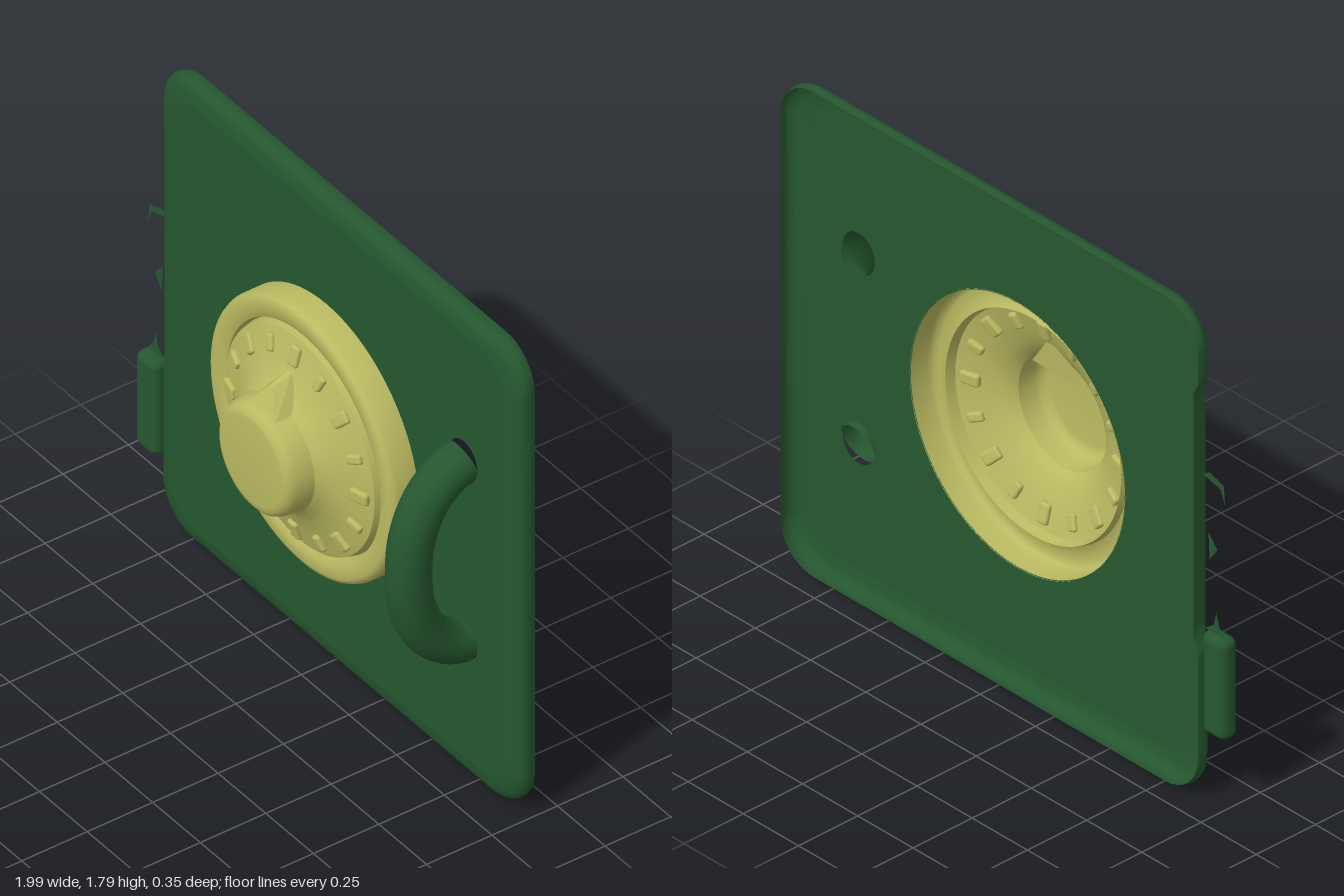
import * as THREE from 'three';
import { toCreasedNormals } from 'three/addons/utils/BufferGeometryUtils.js';
import { RoundedBoxGeometry } from 'three/addons/geometries/RoundedBoxGeometry.js';
import { ConvexGeometry } from 'three/addons/geometries/ConvexGeometry.js';

const DIAL = { x: -0.02, y: 0.92 };
const HANDLE_X = 0.7, HANDLE_ENDS = [0.55, 1.25];

export function createModel() {
  const green = new THREE.MeshStandardMaterial({ color: 0x25572f, side: THREE.DoubleSide });
  green.name = 'door green';
  const gold = new THREE.MeshStandardMaterial({ color: 0xbaba62, side: THREE.DoubleSide });
  gold.name = 'dial gold';

  const model = new THREE.Group();
  model.name = 'safeDoor';
  const add = (name, geometry, material, parent = model) => {
    const mesh = new THREE.Mesh(geometry, material);
    mesh.name = name;
    parent.add(mesh);
    return mesh;
  };

  // Door: rounded outline with a curled rim, open at the back
  const cx = 0.04, cy = 0.915, hw = 0.95, hh = 0.895, r = 0.15;
  const outline = [];
  [[1, 1], [-1, 1], [-1, -1], [1, -1]].forEach(([sx, sy], corner) => {
    for (let i = 0; i <= 10; i++) {
      const a = (corner + i / 10) * Math.PI / 2;
      outline.push([sx * (hw - r) + r * Math.cos(a), sy * (hh - r) + r * Math.sin(a)]);
    }
    // extra points along the hinge side, for its worn edge
    if (corner === 1) for (let i = 1; i < 40; i++) outline.push([-hw, (hh - r) * (1 - i / 20)]);
  });
  const ringAt = (inset) => outline.map(([x, y]) => {
    let px = cx + x * (hw - inset) / hw;
    const py = cy + y * (hh - inset) / hh;
    if (py > 0.6 && py < 1.54) px = Math.max(px, -0.885);
    return new THREE.Vector2(px, py);
  });
  const rimProfile = [[0.005, -0.175], [0, -0.155], [0.004, -0.138], [0.016, -0.124], [0.036, -0.115], [0.07, -0.11]];
  const positions = [], index = [], n = outline.length;
  rimProfile.forEach(([inset, z], k) => {
    ringAt(inset).forEach((p, i) => {
      positions.push(p.x, p.y, z);
      if (k === rimProfile.length - 1) return;
      const a = k * n + i, b = k * n + (i + 1) % n;
      index.push(a, b, a + n, b, b + n, a + n);
    });
  });
  const rim = new THREE.BufferGeometry();
  rim.setAttribute('position', new THREE.Float32BufferAttribute(positions, 3));
  rim.setIndex(index);
  rim.computeVertexNormals();
  add('doorRim', rim, green);

  const face = new THREE.Shape(ringAt(0.07));
  const cutHole = (x, y, radius) => face.holes.push(new THREE.Path().absarc(x, y, radius, 0, Math.PI * 2, true));
  cutHole(DIAL.x, DIAL.y, 0.484);
  HANDLE_ENDS.forEach((y) => cutHole(HANDLE_X, y, 0.072));
  add('doorFace', new THREE.ShapeGeometry(face, 32), green).position.z = -0.11;

  // Handle: hollow bowed tube opening through the door
  const bow = [[0.55, -0.11], [0.57, -0.05], [0.64, 0.03], [0.76, 0.085], [0.9, 0.1],
    [1.04, 0.085], [1.16, 0.03], [1.23, -0.05], [1.25, -0.11]];
  const path = new THREE.CatmullRomCurve3(bow.map(([y, z]) => new THREE.Vector3(HANDLE_X, y, z)));
  add('handle', new THREE.TubeGeometry(path, 48, 0.074, 24), green);

  // Hinge: remaining knuckle
  add('hinge', new RoundedBoxGeometry(0.11, 0.37, 0.07, 4, 0.03), green).position.set(-0.943, 0.445, -0.12);

  // Worn slivers along the hinge side
  [[[-0.98, 1.12], [-0.96, 1.17], [-0.88, 1.19], [-0.91, 1.21], [-0.975, 1.19]],
    [[-0.945, 0.94], [-0.91, 0.89], [-0.905, 0.99]],
    [[-0.98, 0.63], [-0.89, 0.63], [-0.93, 0.66], [-0.94, 0.71], [-0.955, 0.66]]].forEach((points) => {
    const sliver = new THREE.Shape(points.map(([x, y]) => new THREE.Vector2(x, y)));
    add('hingeSliver', new THREE.ShapeGeometry(sliver), green).position.z = -0.13;
  });

  // Dial: hollow turned shell with ring, groove, flared plate and knob
  const dial = new THREE.Group();
  dial.name = 'dial';
  dial.position.set(DIAL.x, DIAL.y, 0);
  model.add(dial);
  const lathe = (profile) => {
    const g = new THREE.LatheGeometry(profile.map(([x, z]) => new THREE.Vector2(x, z)), 72);
    g.rotateX(Math.PI / 2);
    return toCreasedNormals(g, 0.7);
  };
  add('dialRing', lathe([[0.487, -0.112], [0.487, -0.035], [0.48, -0.018], [0.465, -0.01],
    [0.425, -0.012], [0.405, -0.022], [0.398, -0.045]]), gold, dial);
  add('dialPlate', lathe([[0.398, -0.045], [0.39, -0.01], [0.37, -0.003], [0.31, 0.014], [0.25, 0.04],
    [0.215, 0.062], [0.2, 0.08]]), gold, dial);
  add('knob', lathe([[0.2, 0.08], [0.195, 0.14], [0.188, 0.16], [0.172, 0.173], [0.155, 0.176],
    [0.0001, 0.176]]), gold, dial);

  // Pointer: wedge falling away from the knob
  const wedge = [[0.01, 0.285, 0.03], [0.008, 0.26, 0.1], [0.085, 0.165, 0.15], [0.095, 0.165, 0.04]]
    .flatMap(([x, y, z]) => [new THREE.Vector3(x, y, z), new THREE.Vector3(-x, y, z)]);
  add('pointer', new ConvexGeometry(wedge), gold, dial);

  // Marks: sixteen raised blocks, every second one larger
  for (let i = 0; i < 16; i++) {
    const large = i % 2 === 0, a = i * Math.PI / 8;
    const holder = new THREE.Group();
    holder.name = 'dialMark';
    holder.rotation.z = a;
    dial.add(holder);
    const mark = add('markBlock', new RoundedBoxGeometry(large ? 0.072 : 0.06, large ? 0.045 : 0.034, 0.03, 2, 0.01), gold, holder);
    mark.position.set(0.337, 0, 0.006);
    mark.rotation.y = 0.26;
  }
  return model;
}
